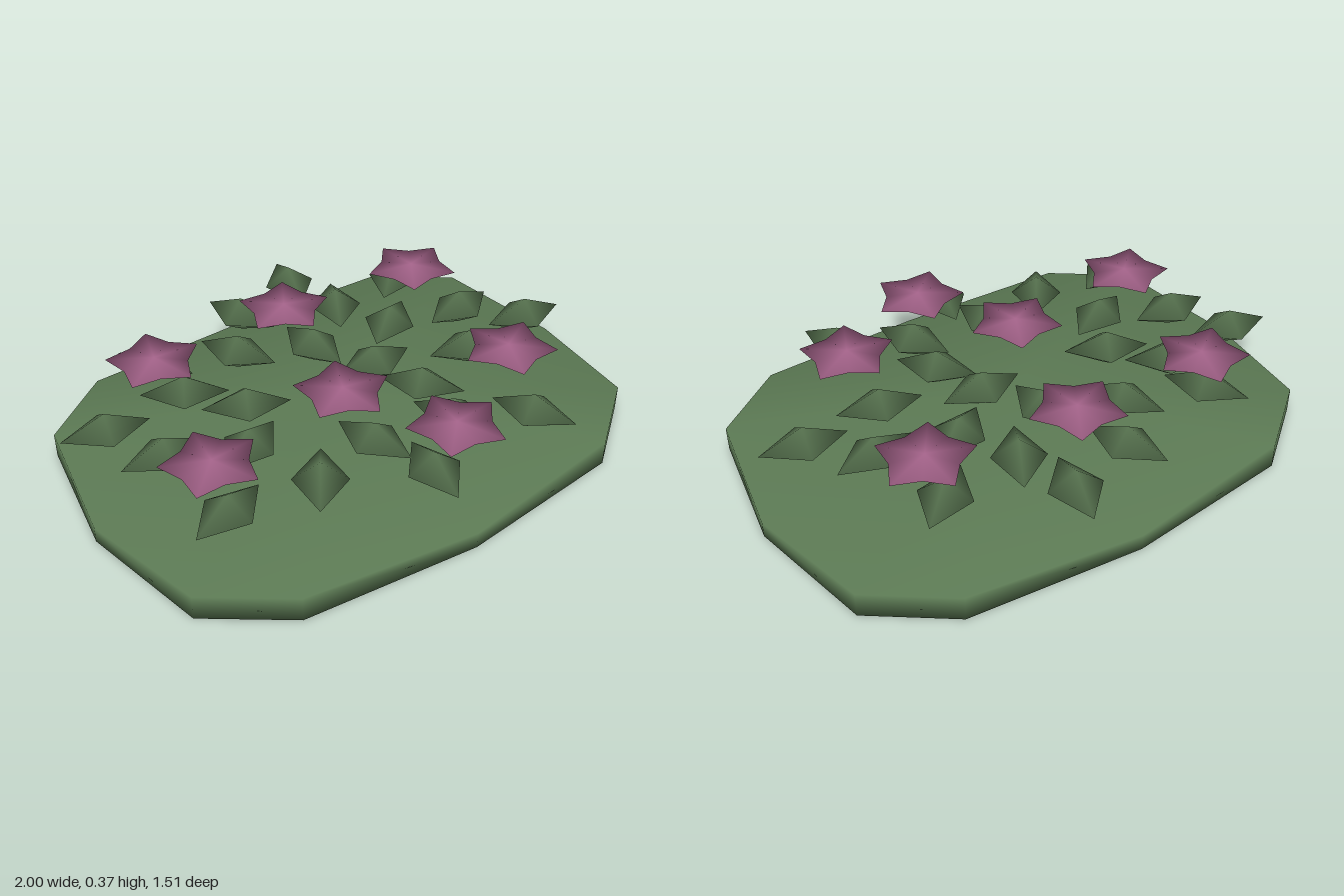
import * as THREE from 'three';

// Closed smooth solid: apex, one or more rim loops, and a bottom centre.
function loopSolid(loops, topY, bottomY) {
  const n = loops[0].length;
  const points = [...loops.flat(), [0, topY, 0], [0, bottomY, 0]];
  const apex = points.length - 2, base = points.length - 1;
  const last = (loops.length - 1) * n;
  const index = [];
  for (let i = 0; i < n; i++) {
    const j = (i + 1) % n;
    index.push(apex, j, i, base, last + i, last + j);
    for (let k = 0; k < last; k += n) {
      index.push(k + n + i, k + i, k + j, k + n + i, k + j, k + n + j);
    }
  }
  const g = new THREE.BufferGeometry();
  g.setAttribute('position', new THREE.Float32BufferAttribute(points.flat(), 3));
  g.setIndex(index);
  g.computeVertexNormals();
  return g;
}

// Loop of n points from a rule of the angle.
const loop = (n, rule) => Array.from({ length: n }, (_, i) => rule(i / n * Math.PI * 2, i));

export function createModel() {
  const model = new THREE.Group();
  const mossGreen = new THREE.MeshStandardMaterial({ color: 0x5c7a54 });
  mossGreen.name = 'mossGreen';
  const leafGreen = new THREE.MeshStandardMaterial({ color: 0x587450 });
  leafGreen.name = 'leafGreen';
  const petalPink = new THREE.MeshStandardMaterial({ color: 0xa9668e });
  petalPink.name = 'petalPink';

  const add = (name, geometry, material, x, y, z, degrees) => {
    const mesh = new THREE.Mesh(geometry, material);
    mesh.name = name;
    mesh.position.set(x, y, z);
    mesh.rotation.y = -THREE.MathUtils.degToRad(degrees);
    model.add(mesh);
  };

  // Mound: rounded-rectangle outline, rim raised at the corners
  const soft = v => Math.abs(v) < 1e-6 ? 0 : Math.sign(v) * Math.abs(v) ** 0.64;
  const rim = height => loop(12, a => [
    soft(Math.cos(a)), height(a), 0.75 * soft(Math.sin(a))]);
  const top = rim(a => 0.06 + 0.038 * Math.abs(Math.sin(2 * a)));
  add('mound', loopSolid([top, rim(() => 0)], 0.2, 0), mossGreen, 0, 0, 0.005, 0);

  // Leaves: pointed diamonds, each [x, z, heading in degrees]
  const leaf = loopSolid([loop(4, (a, i) => {
    const r = i % 2 ? 0.095 : 0.155;
    return [r * Math.cos(a), 0, r * Math.sin(a)];
  })], 0.07, -0.065);
  const leaves = [
    [-0.83, -0.2, 10], [-0.51, -0.44, 60], [-0.51, -0.23, 30], [-0.23, -0.33, 62],
    [-0.09, -0.53, 70], [0.18, -0.61, -75], [0.24, -0.38, -62], [0.02, -0.21, 85],
    [0.34, -0.17, -35], [0.54, -0.41, -40], [0.62, -0.1, -10], [0.79, 0.08, 8],
    [-0.73, 0.02, 2], [-0.37, -0.05, 25], [0.14, 0.0, 0], [-0.48, 0.14, -25],
    [0.2, 0.2, 52], [0.48, 0.12, 12], [-0.38, 0.41, -55], [-0.12, 0.35, 75],
    [0.18, 0.4, 65], [0.42, 0.54, 65], [-0.05, 0.58, -80], [-0.7, 0.37, -20],
  ];
  for (const [x, z, turn] of leaves) add('leaf', leaf, leafGreen, x, 0.25 - 0.02 * z, z, turn);

  // Flowers: flat five-pointed stars, each [x, y, z, heading in degrees]
  const star = loopSolid([loop(10, (a, i) => {
    const r = i % 2 ? 0.118 : 0.172;
    return [r * Math.cos(a), 0, r * Math.sin(a)];
  })], 0.012, -0.012);
  const flowers = [
    [-0.55, 0.335, -0.36, 0], [0, 0.345, -0.37, 85], [0.55, 0.355, -0.31, -20],
    [-0.67, 0.33, 0.23, -8], [-0.12, 0.34, 0.17, 8], [0.49, 0.355, 0.32, -30],
    [0.08, 0.332, 0.53, -8],
  ];
  for (const [x, y, z, turn] of flowers) add('flower', star, petalPink, x, y, z, turn);

  return model;
}
